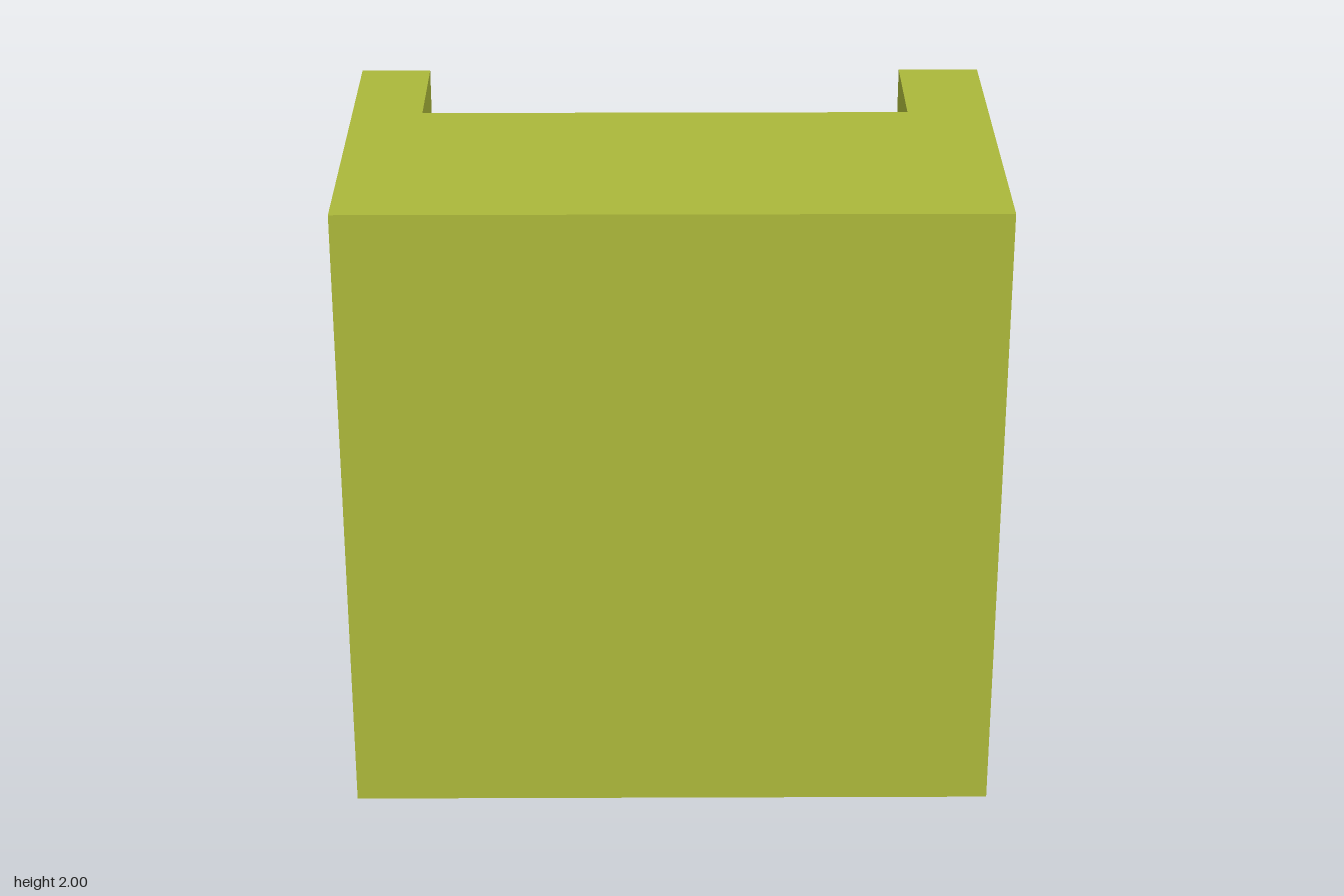
import * as THREE from 'three';

export function createModel() {
  const group = new THREE.Group();
  group.name = 'channelBlock';

  // Plan outline as [x, z]: a solid front with two unequal flanges at the back
  const outline = [
    [-1, 0.62], [1, 0.62], [1, -0.62], [0.745, -0.62],
    [0.745, -0.225], [-0.78, -0.225], [-0.78, -0.62], [-1, -0.62],
  ];
  const plan = new THREE.Shape(outline.map(([x, z]) => new THREE.Vector2(x, -z)));

  // Extrude the plan, then stand it upright on y = 0
  const geometry = new THREE.ExtrudeGeometry(plan, { depth: 2, bevelEnabled: false });
  geometry.rotateX(-Math.PI / 2);

  const block = new THREE.Mesh(
    geometry,
    new THREE.MeshStandardMaterial({ color: 0xabb73a, flatShading: true }),
  );
  block.name = 'notchedBlock';
  group.add(block);
  return group;
}
